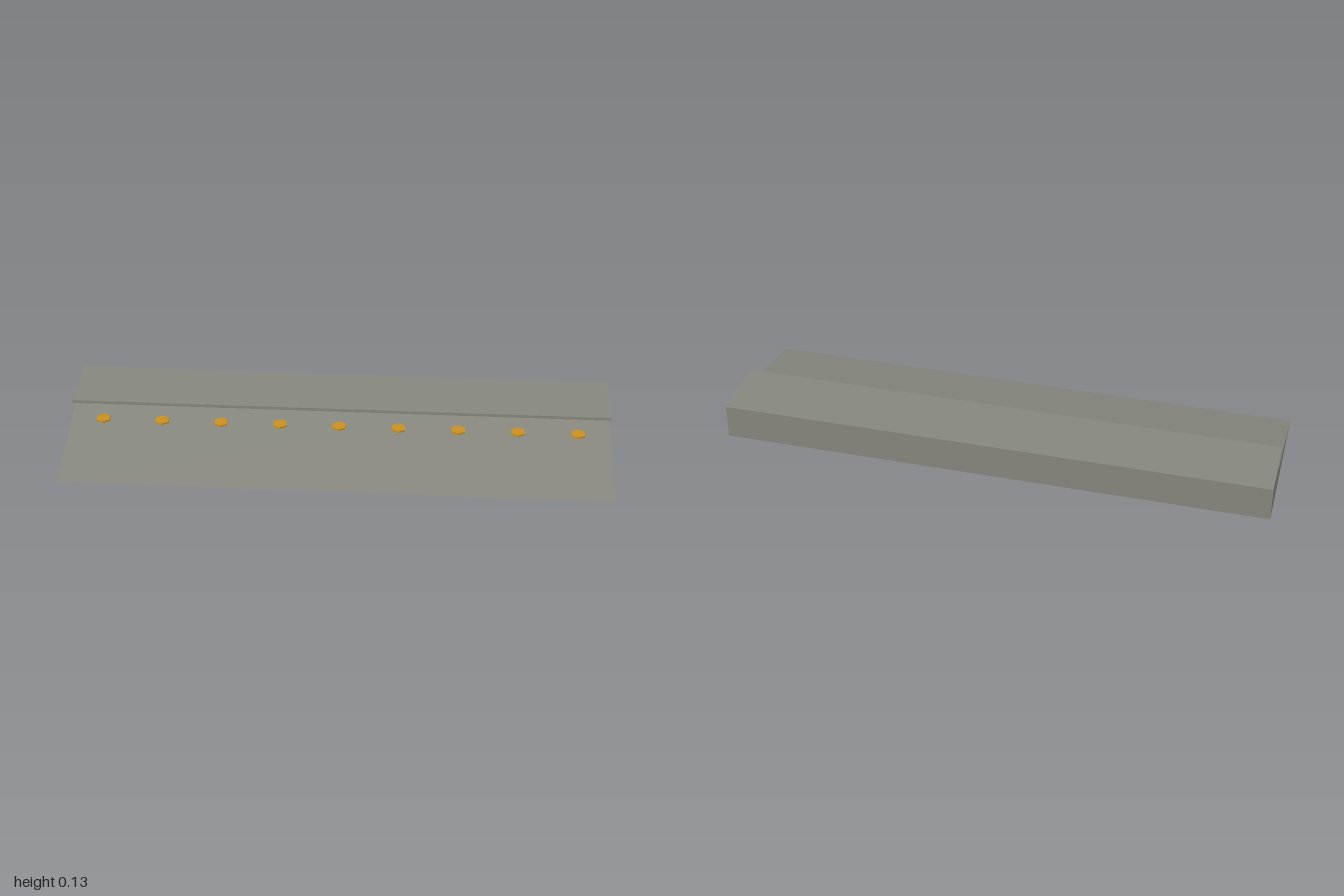
import * as THREE from 'three';

export function createModel() {
  const model = new THREE.Group();
  const concrete = new THREE.MeshStandardMaterial({ color: 0x85867d, flatShading: true });
  concrete.name = 'concreteGrey';
  const amber = new THREE.MeshStandardMaterial({ color: 0xc8901e, flatShading: true });
  amber.name = 'amber';

  // Full-width part extruded along x from a side profile of [z, y] points
  const addProfile = (name, points) => {
    const shape = new THREE.Shape(points.map(([z, y]) => new THREE.Vector2(-z, y)));
    const geometry = new THREE.ExtrudeGeometry(shape, { depth: 2, bevelEnabled: false });
    geometry.translate(0, 0, -1).rotateY(Math.PI / 2);
    const mesh = new THREE.Mesh(geometry, concrete);
    mesh.name = name;
    model.add(mesh);
  };

  // Sloping wedge and the flat ledge overhanging it
  addProfile('rampWedge', [[0.3, 0], [-0.3, 0], [-0.3, 0.118], [-0.245, 0.118]]);
  addProfile('topLedge', [[-0.05, 0.118], [-0.3, 0.118], [-0.3, 0.13], [-0.05, 0.13]]);

  // Two staggered rows of hexagonal studs on the slope
  const studGeometry = new THREE.CylinderGeometry(0.028, 0.028, 0.0075, 6);
  const addStudRow = (name, count, y, z) => {
    const row = new THREE.Group();
    row.name = name;
    for (let i = 0; i < count; i++) {
      const stud = new THREE.Mesh(studGeometry, amber);
      stud.name = 'stud';
      stud.position.set((i - (count - 1) / 2) * 0.22, y, z);
      row.add(stud);
    }
    model.add(row);
  };
  addStudRow('frontStuds', 9, 0.0733, -0.02);
  addStudRow('rearStuds', 8, 0.0993, -0.14);

  return model;
}
